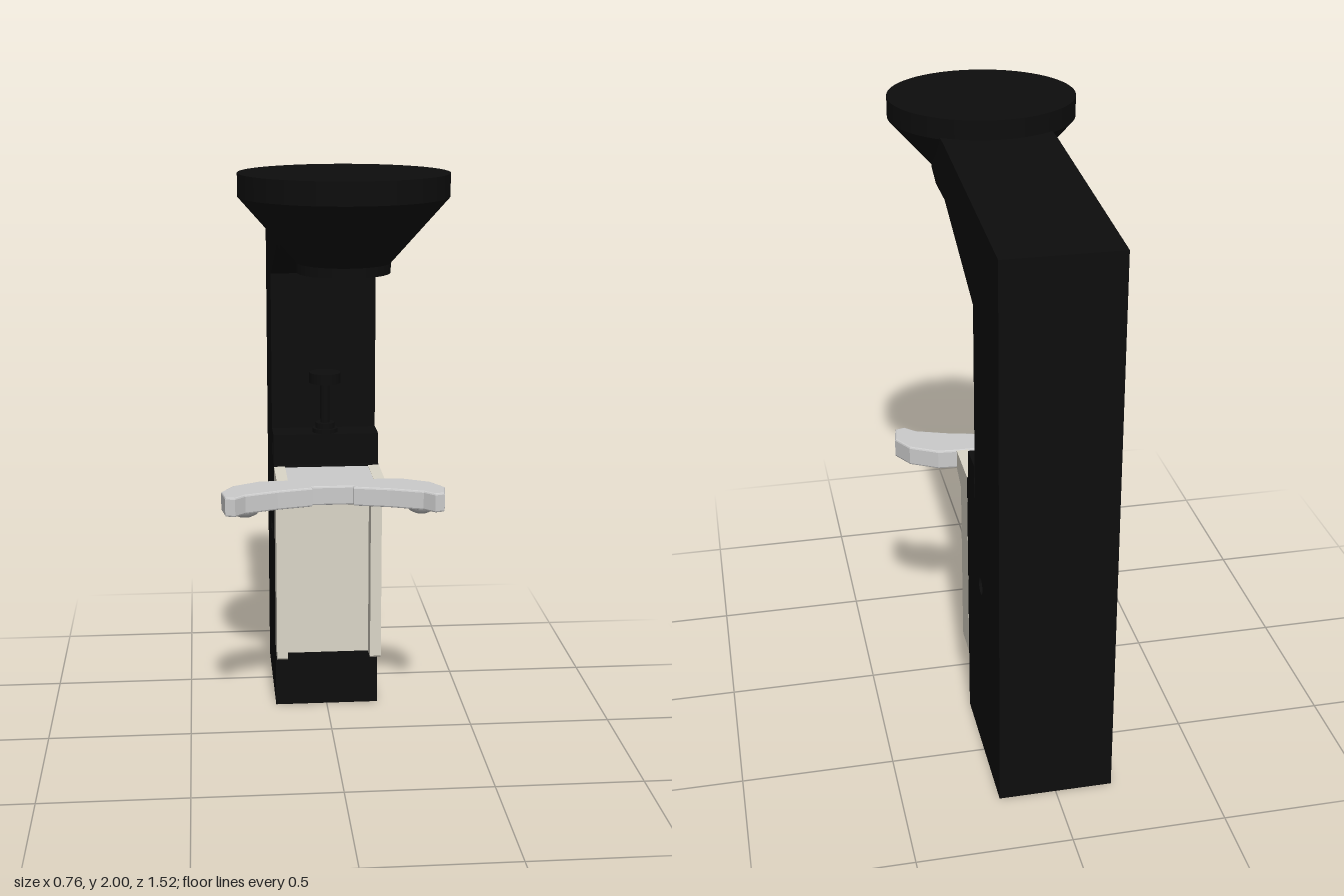
import * as THREE from 'three';

const black = new THREE.MeshStandardMaterial({ color: 0x0d0d0d });
const cream = new THREE.MeshStandardMaterial({ color: 0xdbd6c8 });
const grey = new THREE.MeshStandardMaterial({ color: 0xcccccc });

const shapeOf = (pts) => new THREE.Shape(pts.map(([x, y]) => new THREE.Vector2(x, y)));

// side profile given as [z, y], extruded across x from x0 to x1
function sideExtrude(shape, x0, x1) {
  const g = new THREE.ExtrudeGeometry(shape, { depth: x1 - x0, bevelEnabled: false, curveSegments: 24 });
  return g.rotateY(-Math.PI / 2).translate(x1, 0, 0);
}

// half plan given as [x, z] running from the front to the back, mirrored in x, extruded up from y0 to y1
function planExtrude(half, y0, y1, bevel = 0) {
  const right = half.map(([x, z]) => [x, -z]);
  const left = right.filter(([x]) => x > 0).map(([x, y]) => [-x, y]).reverse();
  const g = new THREE.ExtrudeGeometry(shapeOf([...right, ...left]), {
    depth: y1 - y0 - 2 * bevel, bevelEnabled: bevel > 0, bevelSize: bevel,
    bevelThickness: bevel, bevelOffset: -bevel, bevelSegments: 2,
  });
  return g.rotateX(-Math.PI / 2).translate(0, y0 + bevel, 0);
}

function box(x0, x1, y0, y1, z0, z1) {
  return new THREE.BoxGeometry(x1 - x0, y1 - y0, z1 - z0)
    .translate((x0 + x1) / 2, (y0 + y1) / 2, (z0 + z1) / 2);
}

export function createModel() {
  const model = new THREE.Group();
  const add = (name, geometry, material, parent = model) => {
    const mesh = new THREE.Mesh(geometry, material);
    mesh.name = name;
    parent.add(mesh);
    return mesh;
  };
  const W = 0.187;

  // column and overhanging arm, with a cross hole
  const body = shapeOf([
    [-0.76, 0], [-0.35, 0], [-0.35, 0.91], [-0.375, 0.91], [-0.375, 1.58], [0.11, 1.75],
    [0.28, 1.75], [0.36, 1.78], [0.36, 1.935], [0.12, 1.935], [-0.76, 1.87],
  ]);
  const hole = new THREE.Path();
  hole.absarc(-0.46, 0.63, 0.03, 0, Math.PI * 2, true);
  body.holes.push(hole);
  add('columnAndArm', sideExtrude(body, -W, W), black);

  // front block with a dovetail slot
  add('dovetailTrack', planExtrude([
    [0.1, -0.235], [W, -0.235], [W, -0.351], [0.14, -0.351], [0.14, -0.345],
  ].reverse(), 0, 0.91), black);
  // clamp block across the top of the track
  add('clampBlock', box(-W, W, 0.905, 1.02, -0.365, -0.258), black);

  // round head with a conical underside
  const head = [[0, 1.7], [0.143, 1.7], [0.143, 1.73], [0.32, 1.93], [0.32, 2], [0, 2]];
  const headGroup = new THREE.Group();
  headGroup.name = 'head';
  headGroup.position.z = 0.4425;
  model.add(headGroup);
  // each band is its own lathe so that the rims stay sharp
  for (let i = 0; i < head.length - 1; i++) {
    const band = [head[i], head[i + 1]].map(([r, y]) => new THREE.Vector2(r, y));
    add('headBand' + (i + 1), new THREE.LatheGeometry(band, 64), black, headGroup);
  }

  // thumb screw
  const screw = new THREE.Group();
  screw.name = 'thumbScrew';
  screw.position.z = -0.302;
  model.add(screw);
  const turned = (name, r, y0, y1) =>
    add(name, new THREE.CylinderGeometry(r, r, y1 - y0, 24).translate(0, (y0 + y1) / 2, 0), black, screw);
  turned('screwCollar', 0.045, 1.01, 1.035);
  turned('screwNut', 0.034, 1.035, 1.055);
  turned('screwShaft', 0.017, 1.02, 1.21);
  turned('screwCap', 0.056, 1.2, 1.237);

  // sliding carriage: dovetail tongue, recessed panel and side flanges
  add('carriagePanel', planExtrude([
    [0.15, -0.19], [0.15, -0.234], [0.095, -0.234], [0.13, -0.335],
  ], 0.22, 0.88), cream);
  const flange = shapeOf([
    [-0.234, 0.22], [-0.125, 0.22], [-0.118, 0.227], [-0.118, 0.81],
    [-0.035, 0.847], [-0.035, 0.91], [-0.234, 0.91],
  ]);
  add('leftFlange', sideExtrude(flange, 0.148, W), cream);
  add('rightFlange', sideExtrude(flange, -W, -0.148), cream);

  // stage with swept arms and a tab set into the carriage
  add('stageTab', box(-0.148, 0.148, 0.847, 0.909, -0.225, -0.02), grey);
  add('stage', planExtrude([
    [0.07, 0.045], [0.07, 0.06], [0.19, 0.09], [0.3, 0.13], [0.335, 0.165], [0.368, 0.155],
    [0.38, 0.08], [0.34, 0.01], [0.25, -0.04], [0.19, -0.045],
  ], 0.845, 0.912, 0.006), grey);

  // rounded feet under the stage arms
  const foot = [[0, 0.82], [0.025, 0.823], [0.042, 0.832], [0.05, 0.848]];
  for (const s of [1, -1]) {
    const g = new THREE.LatheGeometry(foot.map(([r, y]) => new THREE.Vector2(r, y)), 24);
    add(s > 0 ? 'leftFoot' : 'rightFoot', g, grey).position.set(s * 0.3, 0, 0.07);
  }
  return model;
}
